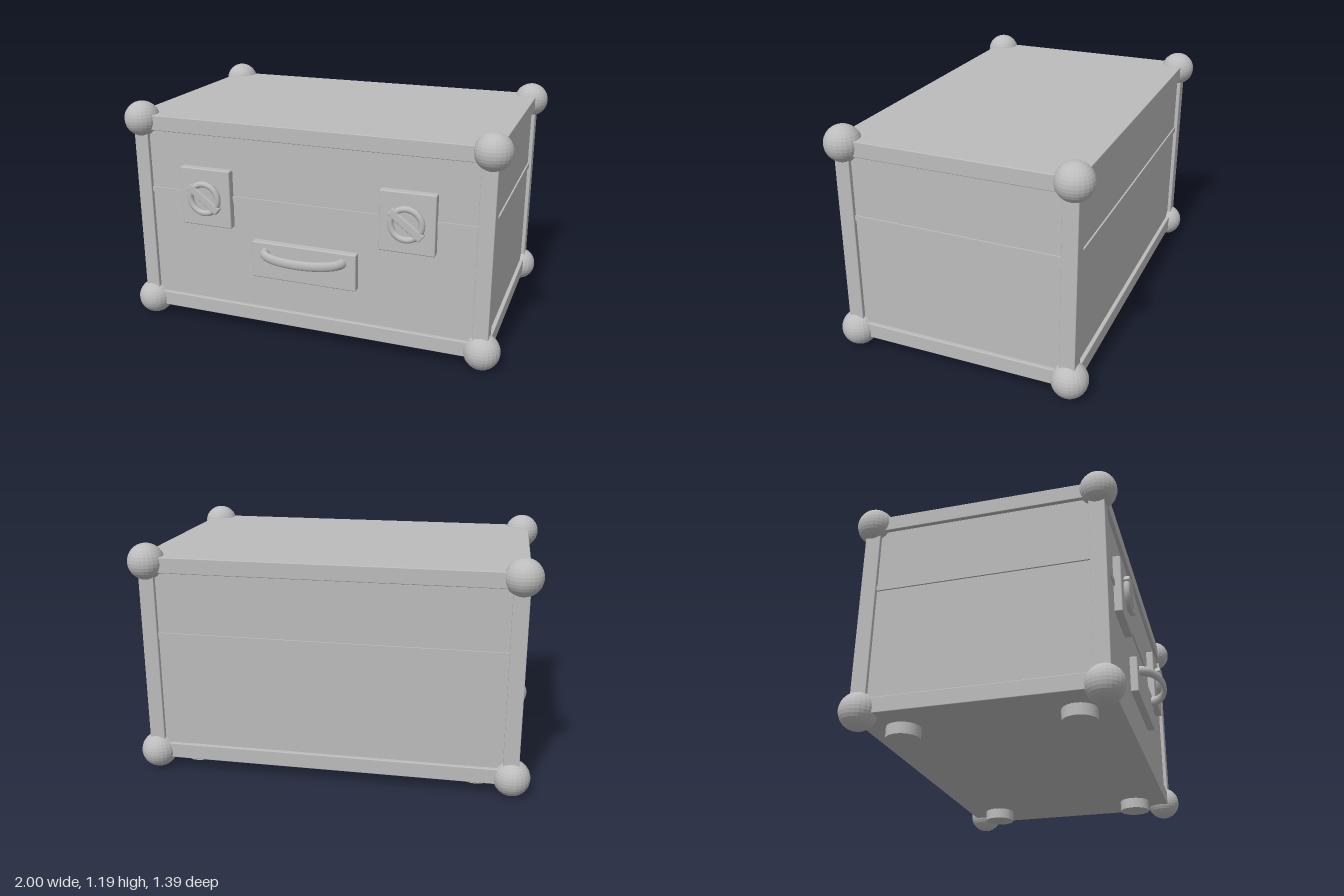
import * as THREE from 'three';
import { RoundedBoxGeometry } from 'three/addons/geometries/RoundedBoxGeometry.js';

export function createModel() {
  const model = new THREE.Group();
  model.name = 'travelCase';
  const grey = new THREE.MeshStandardMaterial({ color: 0xbcbcbc });
  grey.name = 'plainGrey';

  const add = (name, geometry, x, y, z, parent = model) => {
    const mesh = new THREE.Mesh(geometry, grey);
    mesh.name = name;
    mesh.position.set(x, y, z);
    parent.add(mesh);
    return mesh;
  };
  // box given by its limits, with slightly softened edges where r > 0
  const block = (name, [x0, x1], [y0, y1], [z0, z1], r = 0, parent = model) => {
    const size = [x1 - x0, y1 - y0, z1 - z0];
    const geometry = r ? new RoundedBoxGeometry(...size, 2, r) : new THREE.BoxGeometry(...size);
    return add(name, geometry, (x0 + x1) / 2, (y0 + y1) / 2, (z0 + z1) / 2, parent);
  };
  const faceted = (geometry) => {
    const g = geometry.toNonIndexed();
    g.computeVertexNormals();
    return g;
  };

  const X = 0.942, front = 0.571, back = -0.638;
  const recess = 0.02, post = 0.078;

  // recessed walls and the thin seam band around them
  block('caseWalls', [-X + recess, X - recess], [0.1, 1.09], [back + recess, front - recess]);
  const s = recess - 0.008;
  block('seamBand', [-X + s, X - s], [0.709, 0.737], [back + s, front - s]);

  // full-size base and lid slabs form the horizontal rails
  block('baseFrame', [-X, X], [0.063, 0.142], [back, front], 0.004);
  block('lidFrame', [-X, X], [1.046, 1.125], [back, front], 0.004);

  // corner posts, ball protectors and feet
  const ball = faceted(new THREE.SphereGeometry(0.091, 24, 16));
  const foot = new THREE.CylinderGeometry(0.083, 0.083, 0.07, 24);
  for (const sx of [-1, 1]) {
    const xs = sx > 0 ? [X - post, X] : [-X, -X + post];
    block('frontPost', xs, [0.1, 1.09], [front - post, front], 0.004);
    block('backPost', xs, [0.1, 1.09], [back, back + post], 0.004);
    for (const z of [0.537, -0.604]) {
      for (const y of [0.091, 1.096]) add('cornerBall', ball, sx * 0.909, y, z);
    }
    for (const z of [0.387, -0.455]) add('foot', foot, sx * 0.733, 0.041, z);
  }

  // two turn latches: plate, ring and slanted thumb bar
  for (const x of [-0.535, 0.532]) {
    const latch = new THREE.Group();
    latch.name = 'latch';
    latch.position.set(x, 0.722, 0);
    model.add(latch);
    block('latchPlate', [-0.139, 0.139], [-0.153, 0.153], [0.545, 0.59], 0.006, latch);
    add('latchRing', new THREE.TorusGeometry(0.077, 0.016, 10, 32), 0, 0, 0.605, latch);
    const bar = add('latchBar', new RoundedBoxGeometry(0.2, 0.042, 0.03, 2, 0.006), 0, 0, 0.606, latch);
    bar.rotation.z = -0.66;
  }

  // carrying handle on its plate
  block('handlePlate', [-0.282, 0.278], [0.326, 0.52], [0.545, 0.59], 0.006);
  const bow = new THREE.TorusGeometry(0.207, 0.025, 12, 32, Math.PI);
  bow.rotateX(Math.PI / 2);
  bow.scale(1, 1, 0.485);
  add('handle', bow, -0.002, 0.468, 0.585);

  return model;
}
